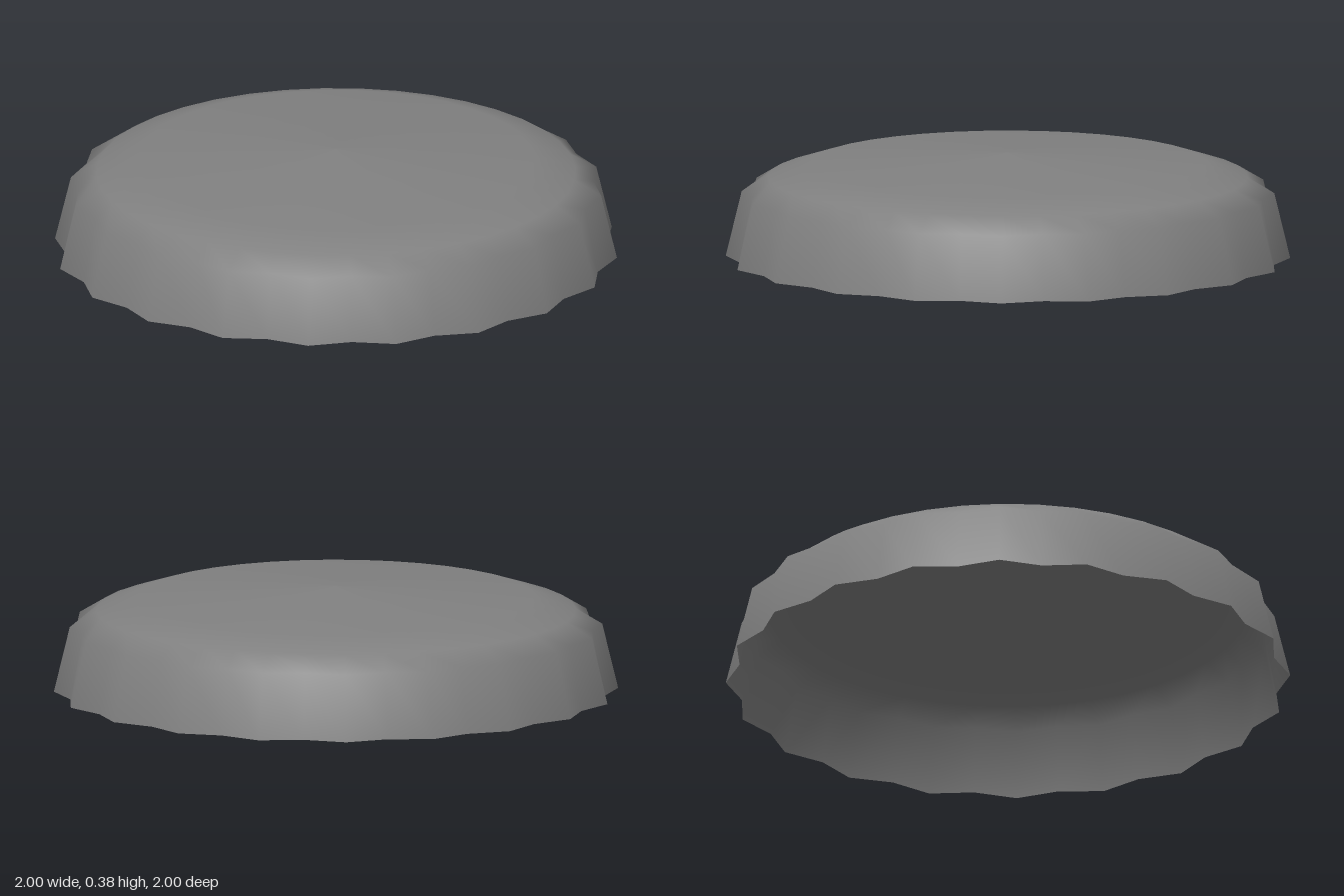
import * as THREE from 'three';

const FLUTES = 20;

// Profile rings from rim to crown: [ridge radius, groove radius, height]
const RINGS = [
  [1.012, 0.97, 0],
  [0.955, 0.925, 0.235],
  [0.86, 0.86, 0.292],
  [0.71, 0.71, 0.34],
  [0, 0, 0.38],
];

export function createModel() {
  const group = new THREE.Group();
  group.name = 'bottleCap';

  // Turned shell, two segments per flute; its round normals keep the shading soft
  const segments = FLUTES * 2;
  const profile = RINGS.map(([r, , y]) => new THREE.Vector2(r, y));
  const shell = new THREE.LatheGeometry(profile, segments);

  // Crimp the skirt: pull every even segment in to the groove radius
  const pos = shell.attributes.position;
  for (let i = 0; i < pos.count; i++) {
    const [ridge, groove] = RINGS[i % RINGS.length];
    const segment = Math.floor(i / RINGS.length);
    if (segment % 2 || ridge === 0) continue;
    pos.setX(i, pos.getX(i) * groove / ridge);
    pos.setZ(i, pos.getZ(i) * groove / ridge);
  }

  // Thin shell, open underneath
  const cap = new THREE.Mesh(
    shell,
    new THREE.MeshStandardMaterial({ color: 0x808080, side: THREE.DoubleSide })
  );
  cap.name = 'crimpedCapShell';
  group.add(cap);
  return group;
}
